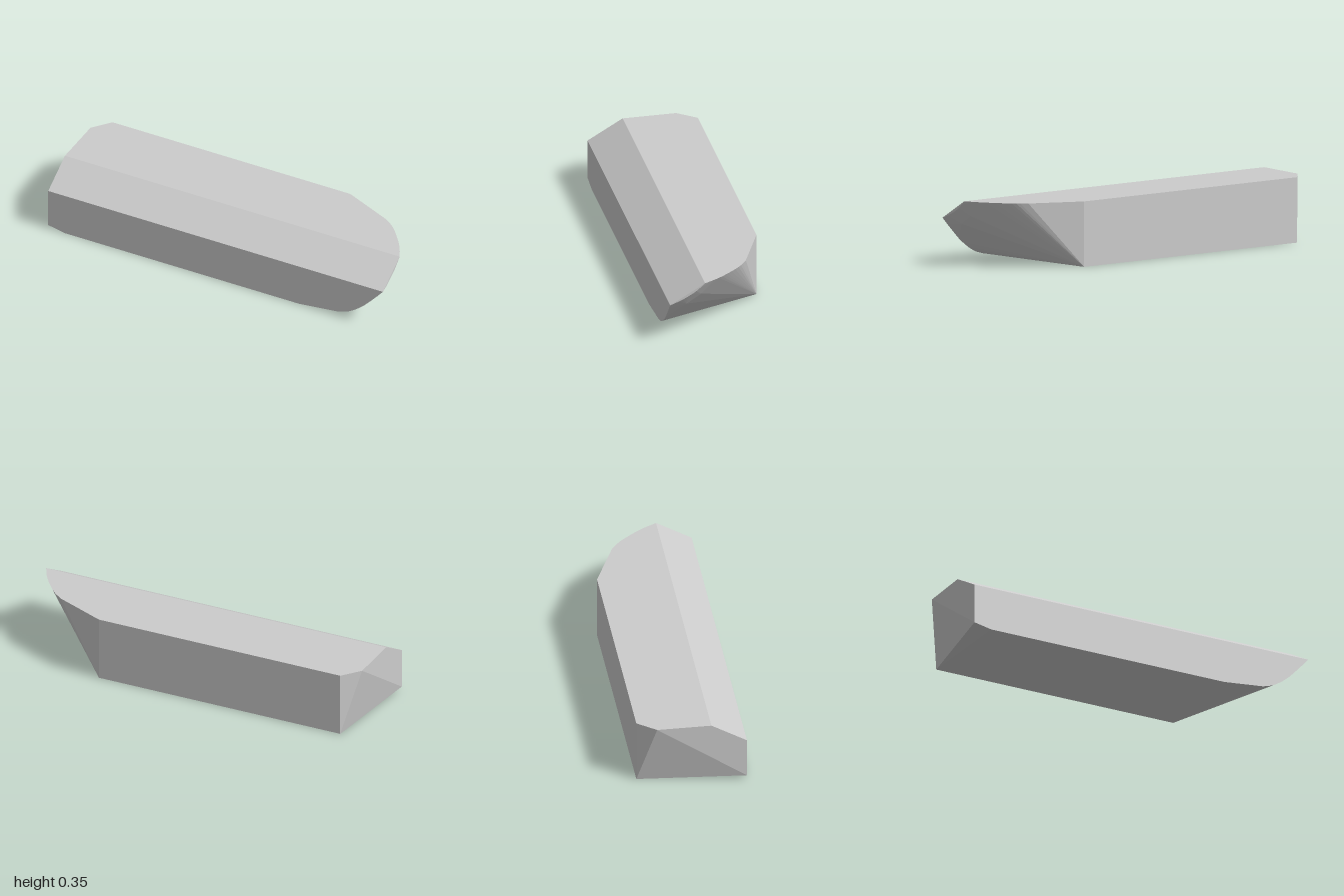
import * as THREE from 'three';
import { ConvexGeometry } from 'three/addons/geometries/ConvexGeometry.js';

const v = (x, y, z) => new THREE.Vector3(x, y, z);
const smooth = (points, n) => new THREE.CatmullRomCurve3(points, false, 'centripetal').getPoints(n);

export function createModel() {
  const H = 0.35, D = 0.29, RIDGE = 0.1, LIP = 0.24;

  // Square end, with a clipped rear corner and a slightly raised front foot
  const squareEnd = [
    v(-1, H, -0.19), v(-0.92, H, -D), v(-1, H, RIDGE),
    v(-1, LIP, D), v(-1, 0.02, D), v(-0.9, 0, D), v(-0.92, 0, -D),
  ];

  // Rear and bottom corners where the undercut begins
  const undercutStart = [v(0.5, H, -D), v(0.5, 0, -D), v(0.5, 0, D)];

  // Curved rim of the top deck
  const deckRim = smooth([
    v(0.78, H, -0.17), v(0.84, H, -0.125), v(0.91, H, -0.045), v(0.96, H, 0.025), v(1, H, RIDGE),
  ], 14);

  // Curved lower edge of the front wall
  const frontRim = smooth([
    v(0.73, 0.025, D), v(0.79, 0.045, D), v(0.87, 0.1, D), v(0.94, 0.172, D), v(1, LIP, D),
  ], 14);

  // Bowed tip, and the fuller skin just behind it
  const tip = smooth([
    v(1, H, RIDGE), v(1, 0.309, 0.147), v(1, 0.28, 0.195), v(1, 0.257, 0.243), v(1, LIP, D),
  ], 8);
  const bulge = [v(0.95, 0.265, 0.11), v(0.95, 0.215, 0.19)];

  const grey = new THREE.MeshStandardMaterial({ color: 0xcccccc });
  grey.name = 'grey';

  const body = new THREE.Mesh(
    new ConvexGeometry([...squareEnd, ...undercutStart, ...deckRim, ...frontRim, ...tip, ...bulge]),
    grey,
  );
  body.name = 'body';

  const group = new THREE.Group();
  group.name = 'bevelledBlock';
  group.add(body);
  return group;
}
